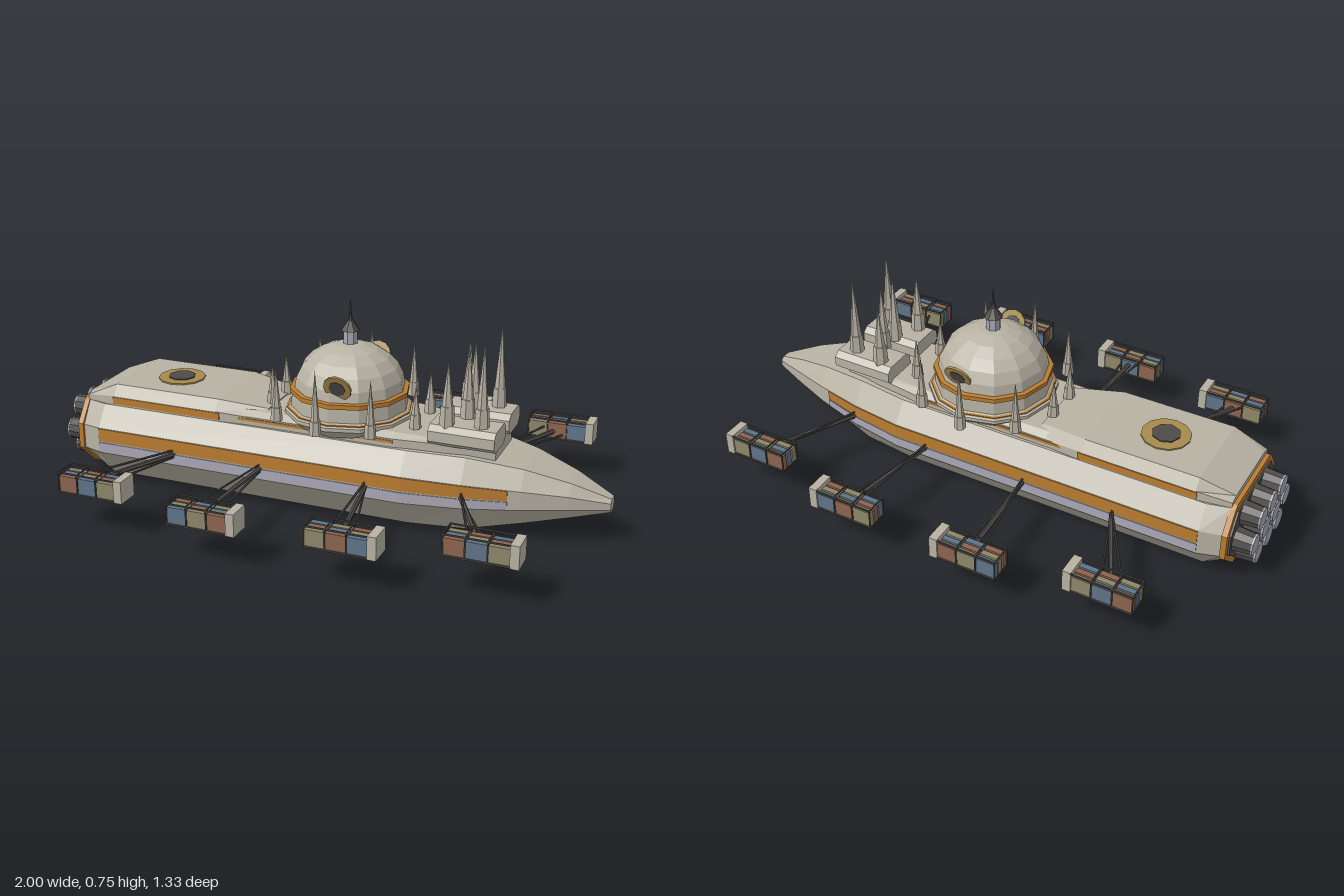
import * as THREE from 'three';

const mat = (name, color) => new THREE.MeshStandardMaterial({ name, color, flatShading: true });

export function createModel() {
  const M = {
    hull: mat('hull stone', 0xb8b2a4), keel: mat('keel dark', 0x474643), orange: mat('orange trim', 0xba7c30),
    window: mat('window lavender', 0xa9a8b6), gold: mat('dull gold', 0xa68a4c), metal: mat('dark metal', 0x4d4b48),
    blue: mat('container blue', 0x5f7488), brown: mat('container brown', 0x8c6450), olive: mat('container olive', 0x8c8668),
  };
  const ship = new THREE.Group();
  ship.name = 'ship';

  const add = (name, geo, m, x = 0, y = 0, z = 0, parent = ship) => {
    const mesh = new THREE.Mesh(geo, m);
    mesh.name = name;
    mesh.position.set(x, y, z);
    parent.add(mesh);
    return mesh;
  };
  const box = (name, w, h, d, m, x, y, z, parent) => add(name, new THREE.BoxGeometry(w, h, d), m, x, y, z, parent);

  // Skin between mirrored cross-sections; each station is [x, [[z, y], ...] from bottom to top]
  const loft = (stations) => {
    const rings = stations.map(([x, half]) => [
      ...half.map(([z, y]) => [x, y, z]),
      ...[...half].reverse().map(([z, y]) => [x, y, -z]),
    ]);
    const n = rings[0].length, pos = [];
    const tri = (a, b, c) => pos.push(...a, ...b, ...c);
    for (let i = 0; i < rings.length - 1; i++) {
      for (let j = 0; j < n; j++) {
        const k = (j + 1) % n;
        const a = rings[i][j], b = rings[i + 1][j], c = rings[i + 1][k], d = rings[i][k];
        tri(a, b, c);
        tri(a, c, d);
      }
    }
    const first = rings[0], last = rings[rings.length - 1];
    for (let j = 1; j < n - 1; j++) {
      tri(first[0], first[j], first[j + 1]);
      tri(last[0], last[j + 1], last[j]);
    }
    const g = new THREE.BufferGeometry();
    g.setAttribute('position', new THREE.Float32BufferAttribute(pos, 3));
    g.computeVertexNormals();
    return g;
  };

  // Main hull: x, bottom (half width, y), side (half width, low y, high y), shoulder (half width, y)
  const S = [
    [-0.91, 0.12, 0.05, 0.21, 0.13, 0.22, 0.16, 0.30],
    [-0.83, 0.15, 0.022, 0.235, 0.13, 0.225, 0.18, 0.30],
    [0.33, 0.15, 0.02, 0.235, 0.13, 0.225, 0.18, 0.30],
    [0.53, 0.13, 0.025, 0.2, 0.13, 0.215, 0.145, 0.292],
    [0.72, 0.085, 0.06, 0.145, 0.133, 0.2, 0.1, 0.262],
    [0.87, 0.05, 0.092, 0.088, 0.136, 0.182, 0.058, 0.22],
    [1.0, 0.016, 0.12, 0.03, 0.134, 0.156, 0.016, 0.168],
  ];
  const section = ([, bw, by, w, y0, y1, sw, sy]) => [[bw, by], [w, y0], [w, y1], [sw, sy]];
  add('hull', loft(S.map((s) => [s[0], section(s)])), M.hull);
  add('keel', loft([
    [-0.83, [[0.105, 0], [0.135, 0.03]]], [0.5, [[0.105, 0.008], [0.13, 0.035]]], [0.72, [[0.06, 0.052], [0.08, 0.075]]],
  ]), M.keel);

  // Raised rear tier, sloping down onto the forward deck
  add('rearTier', loft([
    [-0.91, [[0.16, 0.29], [0.16, 0.32], [0.13, 0.33]]],
    [-0.79, [[0.18, 0.29], [0.18, 0.335], [0.155, 0.374]]],
    [-0.38, [[0.18, 0.29], [0.18, 0.335], [0.155, 0.374]]],
    [-0.2, [[0.165, 0.29], [0.165, 0.325], [0.12, 0.352]]],
  ]), M.hull);
  add('foreDeck', loft([
    [-0.38, [[0.17, 0.29], [0.17, 0.33], [0.145, 0.347]]],
    [0.28, [[0.17, 0.29], [0.17, 0.33], [0.145, 0.347]]],
    [0.46, [[0.14, 0.29], [0.14, 0.325], [0.12, 0.335]]],
    [0.62, [[0.1, 0.26], [0.1, 0.315], [0.09, 0.325]]],
  ]), M.hull);

  // Thin stripes following the hull side; v0 and v1 are fractions of the side height
  const sideAt = (x) => {
    const i = Math.max(1, S.findIndex((s) => s[0] >= x));
    const t = (x - S[i - 1][0]) / (S[i][0] - S[i - 1][0]);
    return [3, 4, 5].map((k) => THREE.MathUtils.lerp(S[i - 1][k], S[i][k], t));
  };
  const stripe = (name, m, xs, v0, v1) => add(name, loft(xs.map((x) => {
    const [w, a, b] = sideAt(x);
    return [x, [[w + 0.003, a + (b - a) * v0], [w + 0.003, a + (b - a) * v1]]];
  })), m);
  stripe('sideStripe', M.orange, [-0.83, 0.33, 0.53, 0.68], 0.48, 0.98);
  stripe('windowBand', M.window, [-0.83, 0.33, 0.53, 0.68], 0.04, 0.42);
  for (const s of [1, -1]) {
    box('tierStripe', 0.43, 0.026, 0.006, M.orange, -0.58, 0.319, s * 0.18);
    box('deckStripe', 0.64, 0.01, 0.006, M.orange, -0.04, 0.32, s * 0.17);
  }

  // Stern collar and engine cluster
  add('sternCollar', loft([-0.925, -0.905].map((x) => [x, [[0.125, 0.042], [0.22, 0.13], [0.22, 0.225], [0.165, 0.3], [0.15, 0.31]]])), M.orange);
  add('sternPlate', loft([-0.932, -0.92].map((x) => [x, [[0.11, 0.06], [0.2, 0.135], [0.2, 0.215], [0.15, 0.285]]])), M.metal);
  for (const [y, zs] of [[0.245, [-0.095, 0, 0.095]], [0.17, [-0.145, -0.048, 0.048, 0.145]], [0.098, [-0.095, 0, 0.095]]]) {
    for (const z of zs) {
      const engine = add('engine', new THREE.CylinderGeometry(0.038, 0.044, 0.075, 10), M.metal, -0.96, y, z);
      engine.rotation.z = Math.PI / 2;
      const glow = add('engineNozzle', new THREE.CylinderGeometry(0.039, 0.039, 0.006, 10), M.window, -0.997, y, z);
      glow.rotation.z = Math.PI / 2;
    }
  }

  // Roof hatch
  add('hatchRing', new THREE.CylinderGeometry(0.086, 0.086, 0.006, 12), M.gold, -0.605, 0.376, 0);
  add('hatchCentre', new THREE.CylinderGeometry(0.05, 0.05, 0.008, 8), M.metal, -0.605, 0.379, 0);

  // Dome, lantern and needle
  const lathe = (name, pts, m, n = 12) => add(name, new THREE.LatheGeometry(pts.map((p) => new THREE.Vector2(...p)), n), m, 0.06, 0, 0);
  lathe('domeBase', [[0, 0.31], [0.19, 0.31], [0.23, 0.345], [0.23, 0.358], [0.208, 0.37], [0.204, 0.422]], M.hull);
  lathe('domeLowerTrim', [[0.222, 0.358], [0.222, 0.366], [0.2, 0.368]], M.orange);
  lathe('domeBand', [[0.195, 0.42], [0.212, 0.42], [0.212, 0.436], [0.19, 0.438]], M.orange);
  const arc = [];
  for (let i = 0; i <= 6; i++) {
    const a = (i / 6) * Math.PI / 2;
    arc.push([0.196 * Math.cos(a), 0.432 + 0.163 * Math.sin(a)]);
  }
  lathe('dome', arc, M.hull);
  lathe('lantern', [[0.026, 0.58], [0.026, 0.64]], M.window, 8);
  lathe('lanternRoof', [[0, 0.638], [0.034, 0.638], [0.01, 0.672], [0.006, 0.69], [0, 0.755]], M.metal, 8);
  for (const s of [1, -1]) {
    const eye = new THREE.Group();
    eye.name = 'domePorthole';
    eye.position.set(0.09, 0.493, s * 0.193);
    eye.rotation.x = s * (Math.PI / 2 + 0.4);
    ship.add(eye);
    add('portholeRing', new THREE.CylinderGeometry(0.05, 0.05, 0.008, 12), M.gold, 0, 0, 0, eye);
    add('portholeGlass', new THREE.CylinderGeometry(0.03, 0.03, 0.012, 8), M.metal, 0, 0, 0, eye);
  }

  // Spires: a hexagonal pedestal with a tapering point
  const spire = (x, z, y, r, pedestal, tip) => {
    const g = new THREE.Group();
    g.name = 'spire';
    g.position.set(x, y, z);
    ship.add(g);
    add('spirePedestal', new THREE.CylinderGeometry(r * 0.85, r, pedestal, 6), M.hull, 0, pedestal / 2, 0, g);
    const h = tip - y - pedestal;
    add('spirePoint', new THREE.ConeGeometry(r * 0.72, h, 6), M.hull, 0, pedestal + h / 2, 0, g);
  };
  for (const s of [1, -1]) {
    for (const [x, z, tip] of [[0.04, 0.268, 0.575], [0.22, 0.223, 0.55], [0.33, 0.08, 0.5], [-0.135, 0.195, 0.545], [-0.21, 0.06, 0.5]]) {
      spire(x, s * z, 0.345, 0.021, 0.05, tip);
    }
    for (const [x, z, tip] of [[0.455, 0.125, 0.62], [0.5, 0.037, 0.65], [0.57, 0.107, 0.695]]) {
      spire(x, s * z, 0.385, 0.027, 0.075, tip);
    }
    // Bevelled spire platform
    const oct = new THREE.Shape([[-0.072, -0.018], [-0.05, -0.036], [0.05, -0.036], [0.072, -0.018],
      [0.072, 0.018], [0.05, 0.036], [-0.05, 0.036], [-0.072, 0.018]].map((p) => new THREE.Vector2(...p)));
    const block = add('spirePlatform', new THREE.ExtrudeGeometry(oct, { depth: 0.23, bevelEnabled: false }), M.hull, 0.4, 0.358, s * 0.092);
    block.rotation.y = Math.PI / 2;
  }

  // Struts and container pods
  const rod = (name, a, b, r, m = M.metal) => {
    const p = new THREE.Vector3(...a), q = new THREE.Vector3(...b), d = q.clone().sub(p);
    const mesh = add(name, new THREE.CylinderGeometry(r, r, d.length(), 6), m);
    mesh.position.copy(p.add(q).multiplyScalar(0.5));
    mesh.quaternion.setFromUnitVectors(new THREE.Vector3(0, 1, 0), d.normalize());
  };
  const cargo = [M.olive, M.brown, M.blue];
  // x start, pod z, base y, strut root x, root z, strut end x
  const pods = [
    [-0.77, 0.555, 0.135, -0.52, 0.225, -0.66], [-0.32, 0.622, 0.128, -0.185, 0.225, -0.205],
    [0.16, 0.615, 0.135, 0.205, 0.225, 0.265], [0.585, 0.526, 0.145, 0.53, 0.19, 0.68],
  ];
  pods.forEach(([x0, z0, y0, rx, rz, ex], i) => {
    for (const s of [1, -1]) {
      const pod = new THREE.Group();
      pod.name = 'containerPod';
      pod.position.set(x0, y0, s * z0);
      ship.add(pod);
      for (let c = 0; c < 3; c++) {
        for (let r = 0; r < 3; r++) {
          box('container', 0.068, 0.058, 0.02, cargo[(c + r * 2 + i) % 3], 0.037 + c * 0.072, 0.03, (r - 1) * 0.027 * s, pod);
        }
      }
      box('podEndBlock', 0.03, 0.08, 0.085, M.hull, 0.23, 0.036, 0, pod);
      for (const z of [-0.04, 0.04]) {
        for (const y of [0, 0.072]) box('podRail', 0.22, 0.005, 0.005, M.metal, 0.11, y, z, pod);
        for (const x of [0.002, 0.073, 0.145]) box('podPost', 0.004, 0.072, 0.004, M.metal, x, 0.036, z, pod);
      }
      for (const x of [0.002, 0.073, 0.145]) {
        for (const y of [0, 0.072]) box('podCrossbar', 0.004, 0.004, 0.08, M.metal, x, y, 0, pod);
      }
      const inner = s * (z0 - 0.035);
      rod('strut', [rx, 0.17, s * rz], [ex, 0.17, inner], 0.009);
      rod('strutBrace', [rx, 0.185, s * rz], [ex - 0.035, 0.185, inner], 0.004);
      rod('strutBrace', [rx, 0.16, s * rz], [ex + 0.035, 0.16, inner], 0.004);
    }
  });
  return ship;
}
